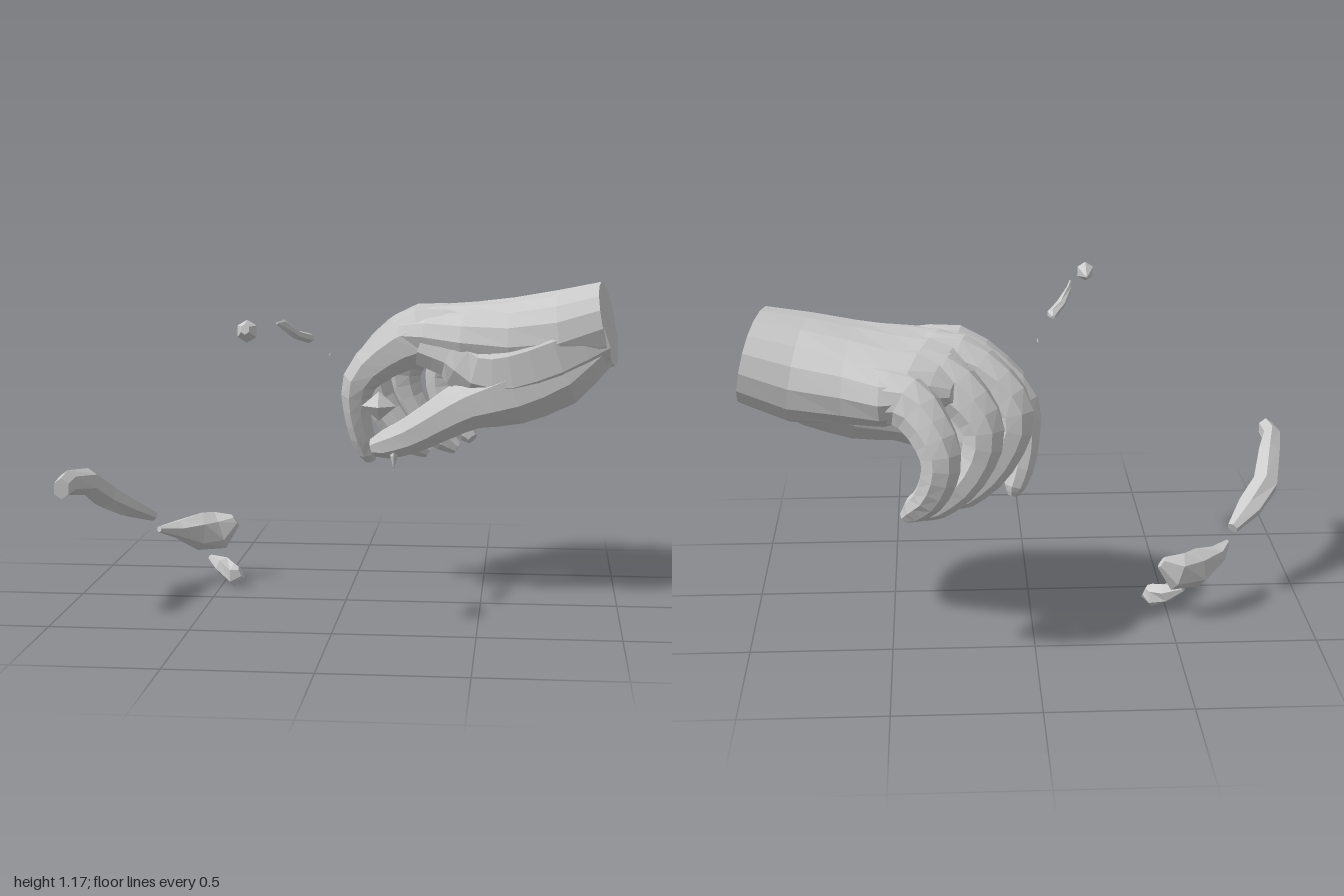
import * as THREE from 'three';

const material = new THREE.MeshStandardMaterial({ color: 0xcccccc, flatShading: true });

// Closed skin over a list of equal-sized rings, capped at both ends
function skin(name, rings) {
  const n = rings[0].length, pos = [], idx = [];
  for (const ring of rings) for (const p of ring) pos.push(p.x, p.y, p.z);
  for (let i = 0; i < rings.length - 1; i++) {
    for (let j = 0; j < n; j++) {
      const k = (j + 1) % n, a = i * n, b = a + n;
      idx.push(a + j, a + k, b + k, a + j, b + k, b + j);
    }
  }
  for (const end of [0, rings.length - 1]) {
    const c = new THREE.Vector3();
    rings[end].forEach((p) => c.addScaledVector(p, 1 / n));
    const ci = pos.length / 3, o = end * n;
    pos.push(c.x, c.y, c.z);
    for (let j = 0; j < n; j++) {
      const k = (j + 1) % n;
      if (end === 0) idx.push(ci, o + k, o + j);
      else idx.push(ci, o + j, o + k);
    }
  }
  const g = new THREE.BufferGeometry();
  g.setAttribute('position', new THREE.Float32BufferAttribute(pos, 3));
  g.setIndex(idx);
  g.computeVertexNormals();
  const mesh = new THREE.Mesh(g, material);
  mesh.name = name;
  return mesh;
}

// Limb along points [x, y, z, half width, half thickness]; side is the width direction
function limb(name, pts, { sides = 8, steps = 2, side = [0, 0, 1] } = {}) {
  const ref = new THREE.Vector3(...side);
  const curve = new THREE.CatmullRomCurve3(pts.map((p) => new THREE.Vector3(p[0], p[1], p[2])));
  const count = (pts.length - 1) * steps, rings = [];
  for (let i = 0; i <= count; i++) {
    const f = i / steps, k = Math.min(Math.floor(f), pts.length - 2), w = f - k;
    const c = curve.getPoint(i / count), t = curve.getTangent(i / count);
    const u = ref.clone().addScaledVector(t, -ref.dot(t)).normalize();
    const v = t.clone().cross(u);
    const size = (q) => {
      const r0 = pts[k][q] ?? pts[k][3], r1 = pts[k + 1][q] ?? pts[k + 1][3];
      return r0 + (r1 - r0) * w;
    };
    rings.push(Array.from({ length: sides }, (_, j) => {
      const a = ((j + 0.5) / sides) * Math.PI * 2;
      return c.clone().addScaledVector(u, Math.cos(a) * size(3)).addScaledVector(v, Math.sin(a) * size(4));
    }));
  }
  return skin(name, rings);
}

// Palm sections: [x, top, bottom, back z, front z, lean with y, lean with z, lift with z]
function palm() {
  const sections = [
    [0.96, 1.17, 0.86, -0.495, -0.035, -0.2, -0.13, 0],
    [0.80, 1.14, 0.79, -0.52, 0.015, -0.15, -0.1, 0],
    [0.62, 1.11, 0.79, -0.575, 0.025, -0.05, -0.1, 0],
    [0.47, 1.09, 0.81, -0.63, 0.0, 0, -0.18, 0.04],
    [0.36, 1.08, 0.84, -0.63, -0.05, 0, -0.3, 0.06],
    [0.27, 1.055, 0.87, -0.59, -0.09, 0, -0.36, 0.06],
    [0.21, 1.01, 0.90, -0.56, -0.12, 0, -0.36, 0.06],
  ];
  const n = 16, power = (c) => Math.sign(c) * Math.abs(c) ** 0.9;
  return skin('palm', sections.map(([x, top, bottom, back, front, leanY, leanZ, lift]) =>
    Array.from({ length: n }, (_, j) => {
      const a = (j / n) * Math.PI * 2;
      const dz = (power(Math.cos(a)) * (front - back)) / 2;
      const dy = (power(Math.sin(a)) * (top - bottom)) / 2;
      return new THREE.Vector3(x + leanY * dy + leanZ * dz, (top + bottom) / 2 + dy + lift * dz, (back + front) / 2 + dz);
    })));
}

export function createModel() {
  const model = new THREE.Group();
  const hand = new THREE.Group();
  hand.name = 'hand';
  hand.add(palm());

  // Thumb with the fleshy base of the palm, and the web joining it to the index side
  hand.add(limb('thumb', [
    [0.90, 0.95, -0.18, 0.12, 0.11], [0.76, 0.85, -0.12, 0.145, 0.145], [0.60, 0.78, -0.095, 0.135, 0.135],
    [0.45, 0.73, -0.085, 0.11, 0.10], [0.34, 0.67, -0.085, 0.085, 0.085], [0.23, 0.605, -0.11, 0.07, 0.072],
    [0.14, 0.568, -0.135, 0.062, 0.058], [0.09, 0.553, -0.15, 0.04, 0.036],
  ]));
  hand.add(limb('thumbWeb', [
    [0.92, 0.97, -0.15, 0.1, 0.1], [0.75, 0.91, -0.09, 0.12, 0.15], [0.60, 0.86, -0.08, 0.12, 0.15],
    [0.48, 0.86, -0.085, 0.105, 0.125], [0.39, 0.915, -0.105, 0.09, 0.10], [0.28, 0.95, -0.13, 0.075, 0.09],
  ]));

  // Curled fingers
  const fingers = {
    indexFinger: [
      [0.42, 0.96, -0.14, 0.09, 0.11], [0.27, 0.965, -0.155, 0.088, 0.115], [0.13, 0.895, -0.175, 0.08, 0.09],
      [0.035, 0.80, -0.195, 0.076, 0.07], [0.02, 0.69, -0.22, 0.066, 0.054], [0.038, 0.58, -0.25, 0.06, 0.048],
      [0.06, 0.515, -0.265, 0.05, 0.04], [0.067, 0.482, -0.27, 0.028, 0.02],
    ],
    middleFinger: [
      [0.42, 0.98, -0.28, 0.085, 0.105], [0.26, 0.98, -0.30, 0.084, 0.108], [0.13, 0.91, -0.345, 0.074, 0.086],
      [0.068, 0.82, -0.375, 0.068, 0.076], [0.09, 0.71, -0.385, 0.062, 0.066], [0.16, 0.60, -0.385, 0.06, 0.06],
      [0.24, 0.53, -0.385, 0.052, 0.05], [0.285, 0.50, -0.385, 0.03, 0.026],
    ],
    ringFinger: [
      [0.46, 0.98, -0.41, 0.085, 0.10], [0.32, 0.965, -0.43, 0.08, 0.10], [0.22, 0.89, -0.475, 0.072, 0.084],
      [0.175, 0.80, -0.50, 0.066, 0.076], [0.195, 0.70, -0.505, 0.06, 0.066], [0.26, 0.60, -0.505, 0.058, 0.059],
      [0.34, 0.533, -0.495, 0.05, 0.05], [0.39, 0.50, -0.49, 0.028, 0.026],
    ],
    littleFinger: [
      [0.54, 0.95, -0.52, 0.085, 0.10], [0.43, 0.935, -0.57, 0.078, 0.095], [0.36, 0.86, -0.625, 0.066, 0.08],
      [0.322, 0.77, -0.655, 0.06, 0.074], [0.33, 0.69, -0.655, 0.056, 0.066], [0.365, 0.61, -0.63, 0.054, 0.056],
      [0.41, 0.558, -0.59, 0.048, 0.047], [0.445, 0.525, -0.57, 0.026, 0.024],
    ],
  };
  for (const [name, pts] of Object.entries(fingers)) hand.add(limb(name, pts));
  model.add(hand);

  // Loose broken pieces arranged around the hand
  const pieces = new THREE.Group();
  pieces.name = 'fragments';
  const chip = { sides: 6, steps: 1 }, chipX = { sides: 6, steps: 1, side: [1, 0, 0] };
  pieces.add(
    limb('longFragment', [
      [-0.96, 0.478, 0.435, 0.03, 0.038], [-0.965, 0.48, 0.32, 0.035, 0.045], [-0.93, 0.46, 0.18, 0.045, 0.05],
      [-0.895, 0.385, 0.05, 0.052, 0.05], [-0.825, 0.325, -0.03, 0.05, 0.035], [-0.75, 0.278, -0.12, 0.022, 0.02],
    ], chipX),
    limb('curvedFragment', [
      [-0.73, 0.225, -0.13, 0.012], [-0.675, 0.21, -0.21, 0.045, 0.035], [-0.60, 0.19, -0.275, 0.05, 0.075],
      [-0.525, 0.19, -0.31, 0.04, 0.075], [-0.465, 0.23, -0.315, 0.015, 0.025],
    ], chip),
    limb('smallFragment', [
      [-0.555, 0.095, -0.25, 0.012, 0.01], [-0.50, 0.07, -0.22, 0.04, 0.035], [-0.45, 0.042, -0.18, 0.03, 0.045],
      [-0.422, 0.055, -0.17, 0.012, 0.025],
    ], chip),
    limb('upperThinFragment', [
      [-0.187, 1.07, 0.48, 0.004], [-0.175, 1.058, 0.395, 0.01, 0.02], [-0.14, 1.018, 0.33, 0.018, 0.016],
      [-0.105, 1.0, 0.26, 0.022, 0.018], [-0.105, 1.0, 0.215, 0.007],
    ], chipX),
    limb('upperPointedFragment', [
      [-0.255, 1.07, 0.54, 0.004], [-0.26, 1.06, 0.67, 0.036, 0.038], [-0.26, 1.07, 0.712, 0.015, 0.018],
    ], chipX),
    limb('sliver', [[-0.043, 0.93, 0.12, 0.002], [-0.043, 0.93, 0.17, 0.002]], chipX),
  );

  // Faceted pieces held between thumb and fingers
  for (const [name, p, s] of [
    ['heldPiece', [0.11, 0.71, -0.13], [0.065, 0.055, 0.05]],
    ['heldSpike', [0.17, 0.53, -0.09], [0.014, 0.055, 0.02]],
  ]) {
    const mesh = new THREE.Mesh(new THREE.OctahedronGeometry(1), material);
    mesh.name = name;
    mesh.position.set(...p);
    mesh.scale.set(...s);
    pieces.add(mesh);
  }
  model.add(pieces);
  return model;
}
